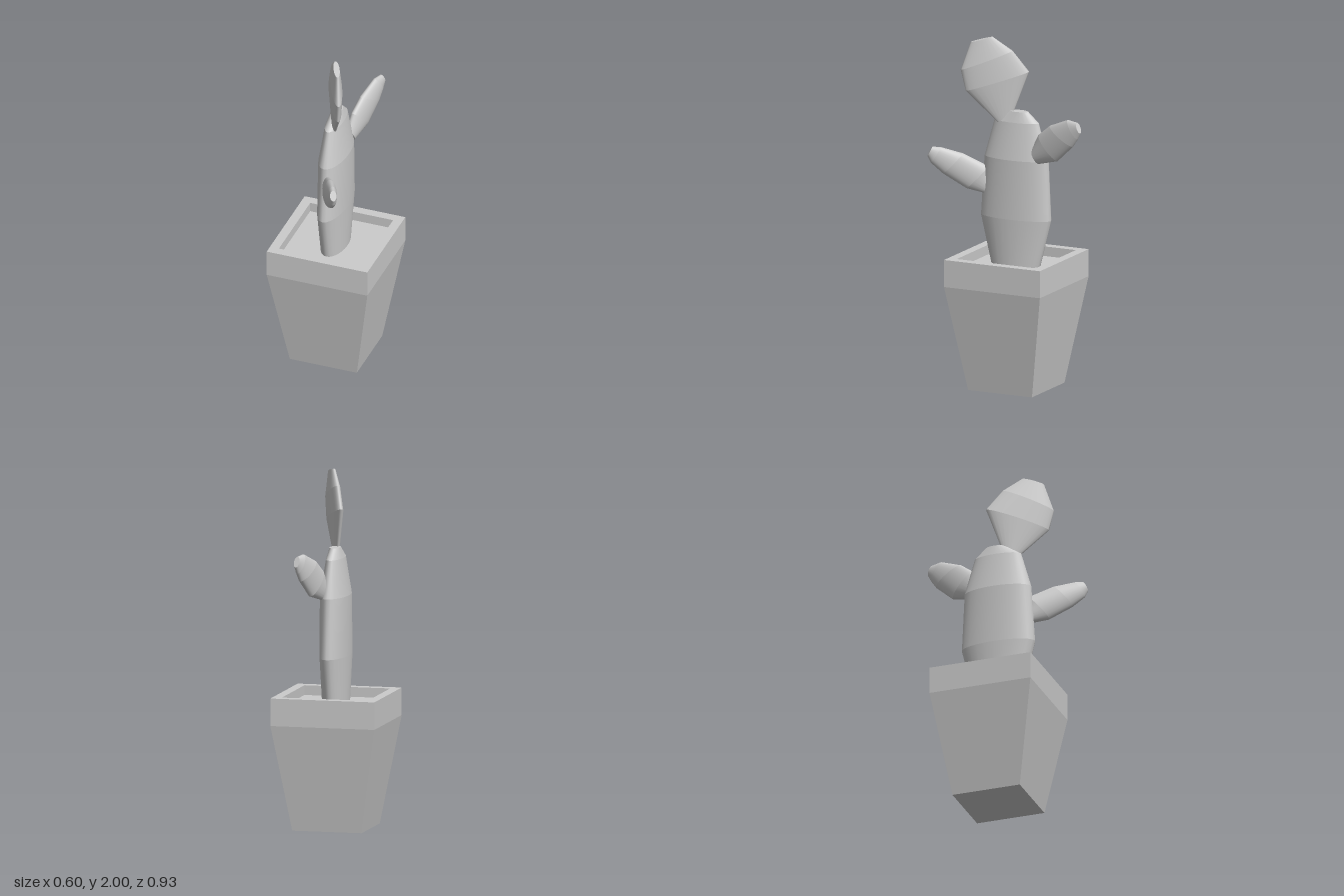
import * as THREE from 'three';

const SIDES = 24;
const grey = (extra = {}) => new THREE.MeshStandardMaterial({ color: 0xcccccc, ...extra });

// Flattened cactus segment. Each ring is [zA, yA, zB, yB, halfThickness]:
// an ellipse between edge points A and B, lying in the upright plane x = x0 + slope * z.
// Bands are smooth around and creased from ring to ring.
function cactusSegment(name, rings, x0 = 0, slope = 0) {
  const normal = new THREE.Vector3(1, 0, -slope).normalize();
  const positions = [], index = [];

  function addRing([zA, yA, zB, yB, t]) {
    const start = positions.length / 3;
    const a = new THREE.Vector3(x0 + slope * zA, yA, zA);
    const b = new THREE.Vector3(x0 + slope * zB, yB, zB);
    const centre = a.clone().add(b).multiplyScalar(0.5);
    const half = a.clone().sub(b).multiplyScalar(0.5);
    for (let i = 0; i < SIDES; i++) {
      const angle = (i / SIDES) * Math.PI * 2;
      const p = centre.clone()
        .addScaledVector(half, Math.cos(angle))
        .addScaledVector(normal, t * Math.sin(angle));
      positions.push(p.x, p.y, p.z);
    }
    return start;
  }

  // side bands
  for (let r = 0; r < rings.length - 1; r++) {
    const low = addRing(rings[r]), high = addRing(rings[r + 1]);
    for (let i = 0; i < SIDES; i++) {
      const j = (i + 1) % SIDES;
      index.push(low + i, low + j, high + j, low + i, high + j, high + i);
    }
  }
  // flat end caps
  const base = addRing(rings[0]), tip = addRing(rings[rings.length - 1]);
  for (let i = 1; i < SIDES - 1; i++) {
    index.push(base, base + i + 1, base + i, tip, tip + i, tip + i + 1);
  }

  const geometry = new THREE.BufferGeometry();
  geometry.setAttribute('position', new THREE.Float32BufferAttribute(positions, 3));
  geometry.setIndex(index);
  geometry.computeVertexNormals();
  const mesh = new THREE.Mesh(geometry, grey());
  mesh.name = name;
  return mesh;
}

// Square tapered pot with an upright rim, turned from a four-sided profile
function createPot() {
  const pot = new THREE.Group();
  pot.name = 'pot';
  const profile = [[0, 0], [0.2, 0], [0.3, 0.6], [0.3, 0.755], [0.247, 0.755], [0.247, 0.69]]
    .map(([half, y]) => new THREE.Vector2(half * Math.SQRT2, y));
  const shell = new THREE.Mesh(
    new THREE.LatheGeometry(profile, 4).rotateY(Math.PI / 4),
    grey({ flatShading: true })
  );
  shell.name = 'potShell';

  const soil = new THREE.Mesh(new THREE.PlaneGeometry(0.494, 0.494).rotateX(-Math.PI / 2), grey());
  soil.name = 'soil';
  soil.position.y = 0.7;
  pot.add(shell, soil);
  pot.position.z = -0.005;
  return pot;
}

export function createModel() {
  const model = new THREE.Group();
  model.name = 'pottedCactus';
  model.add(createPot());

  const cactus = new THREE.Group();
  cactus.name = 'cactus';
  cactus.add(
    // upright trunk
    cactusSegment('trunk', [
      [0.145, 0.69, -0.15, 0.69, 0.07],
      [0.213, 0.97, -0.222, 0.97, 0.077],
      [0.19, 1.31, -0.205, 1.31, 0.077],
      [0.13, 1.52, -0.145, 1.52, 0.045],
      [0.035, 1.58, -0.078, 1.58, 0.029]
    ]),
    // round pad on top
    cactusSegment('topPad', [
      [0.095, 1.512, 0.025, 1.54, 0.015],
      [0.255, 1.69, -0.063, 1.8, 0.033],
      [0.28, 1.81, 0.02, 1.92, 0.032],
      [0.23, 1.97, 0.12, 2.0, 0.017]
    ], -0.014, 0.49),
    // arm reaching back
    cactusSegment('backArm', [
      [-0.12, 1.38, -0.167, 1.3, 0.028],
      [-0.167, 1.47, -0.3, 1.337, 0.034],
      [-0.247, 1.533, -0.41, 1.437, 0.034],
      [-0.374, 1.586, -0.443, 1.485, 0.025],
      [-0.438, 1.58, -0.462, 1.522, 0.017]
    ], -0.003, -0.25),
    // arm reaching forward
    cactusSegment('frontArm', [
      [0.183, 1.093, 0.155, 1.17, 0.026],
      [0.273, 1.12, 0.162, 1.247, 0.034],
      [0.39, 1.204, 0.29, 1.32, 0.034],
      [0.45, 1.265, 0.4, 1.355, 0.024],
      [0.468, 1.305, 0.443, 1.358, 0.018]
    ], -0.07, 0.5)
  );
  model.add(cactus);
  return model;
}
